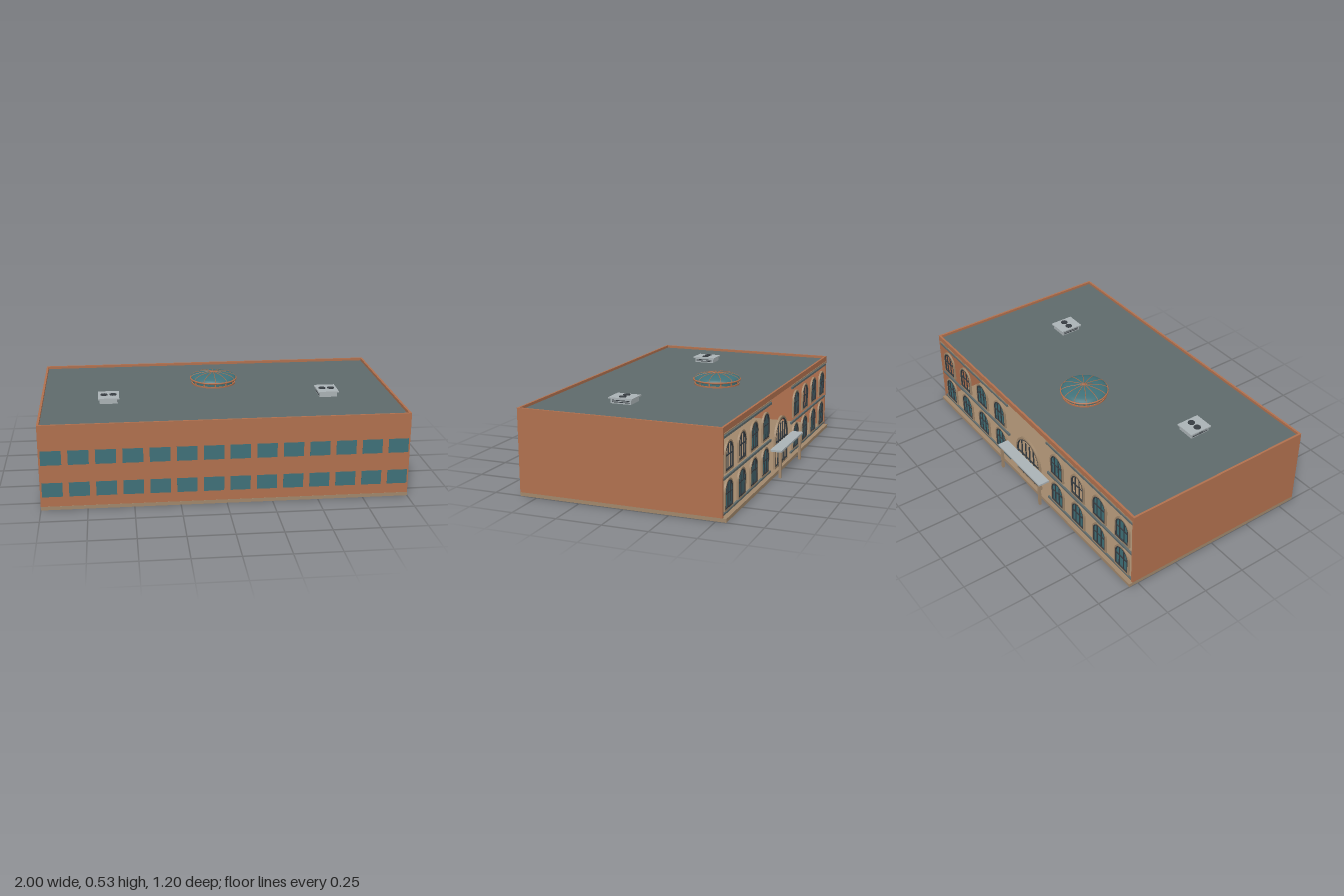
import * as THREE from 'three';

const mat = (name, color) => {
  const m = new THREE.MeshStandardMaterial({ color, side: THREE.DoubleSide });
  m.name = name;
  return m;
};

export function createModel() {
  const brick = mat('brick', 0xb0704e);
  const stone = mat('stone', 0xa0876b);
  const slate = mat('slate', 0x5e6a6b);
  const glass = mat('glass', 0x3f7078);
  const metal = mat('metal', 0xaab2b5);
  const dark = mat('dark metal', 0x363c41);

  const model = new THREE.Group();
  model.name = 'building';
  const add = (parent, name, geo, material, x = 0, y = 0, z = 0) => {
    const m = new THREE.Mesh(geo, material);
    m.name = name;
    m.position.set(x, y, z);
    parent.add(m);
    return m;
  };
  // Box given by its limits on each axis
  const box = (parent, name, material, x0, x1, y0, y1, z0, z1) =>
    add(parent, name, new THREE.BoxGeometry(x1 - x0, y1 - y0, z1 - z0), material,
      (x0 + x1) / 2, (y0 + y1) / 2, (z0 + z1) / 2);
  const group = (name, x, y, z) => {
    const g = new THREE.Group();
    g.name = name;
    g.position.set(x, y, z);
    model.add(g);
    return g;
  };

  // Hollow shell, open behind the arcade at the back
  const back = -0.535, top = 0.478, t = 0.012;
  box(model, 'plinth', stone, -1, 1, 0, 0.02, -0.555, 0.6);
  box(model, 'frontWall', brick, -1, 1, 0.02, top, 0.6 - t, 0.599);
  for (const s of [-1, 1]) {
    const a = s * 1, b = s * (1 - t);
    box(model, 'sideWall', brick, Math.min(a, b), Math.max(a, b), 0.02, top, back, 0.6 - t);
  }
  box(model, 'backParapet', brick, -1 + t, 1 - t, 0.447, top, back, back + t);
  box(model, 'roof', slate, -1 + t, 1 - t, 0.452, 0.463, back + t, 0.6 - t);

  // Front window strips
  for (const [y0, y1] of [[0.075, 0.155], [0.255, 0.335]])
    for (let i = 0; i < 14; i++) {
      const x = -0.935 + i * 0.144;
      box(model, 'frontWindow', glass, x - 0.055, x + 0.055, y0, y1, 0.598, 0.6);
    }

  // Arched outline, base at y = 0
  const arch = (w, h, Type = THREE.Shape) => {
    const r = w / 2, p = new Type();
    p.moveTo(-r, 0);
    p.lineTo(r, 0);
    p.lineTo(r, h - r);
    p.absarc(0, h - r, r, 0, Math.PI, false);
    p.lineTo(-r, 0);
    return p;
  };
  const archFrame = (w, h, edge, depth) => {
    const s = arch(w, h);
    const hole = arch(w - 2 * edge, h - 2 * edge, THREE.Path);
    hole.curves.forEach((c) => {
      if (c.isLineCurve) { c.v1.y += edge; c.v2.y += edge; } else c.aY += edge;
    });
    s.holes.push(hole);
    return new THREE.ExtrudeGeometry(s, { depth, bevelEnabled: false, curveSegments: 12 });
  };

  // Arched windows: stone surround, dark bars, glass pane
  const trimGeo = archFrame(0.125, 0.158, 0.009, 0.01);
  const frameGeo = archFrame(0.107, 0.14, 0.006, 0.008);
  const paneGeo = new THREE.ShapeGeometry(arch(0.1, 0.135), 12);
  const unglazed = [0.9, 0.7, -0.5];
  for (const y of [0.04, 0.237])
    for (const x of [-0.9, -0.7, -0.5, -0.3, 0.3, 0.5, 0.7, 0.9]) {
      const w = group('archedWindow', x, y, back);
      add(w, 'surround', trimGeo, stone);
      add(w, 'frame', frameGeo, dark, 0, 0.009, 0);
      if (y < 0.2 || !unglazed.includes(x)) add(w, 'pane', paneGeo, glass, 0, 0.012, 0.006);
      for (const bx of [-0.018, 0.018])
        box(w, 'mullion', dark, bx - 0.0025, bx + 0.0025, 0.012, 0.145, 0, 0.005);
      box(w, 'transom', dark, -0.05, 0.05, 0.084, 0.089, 0, 0.005);
    }

  // Entrance arch with open bars
  const door = group('entrance', 0, 0.02, back);
  add(door, 'surround', archFrame(0.25, 0.285, 0.012, 0.012), stone);
  add(door, 'frame', archFrame(0.226, 0.261, 0.005, 0.008), dark, 0, 0.012, 0);
  for (const x of [-0.06, -0.02, 0.02, 0.06])
    box(door, 'bar', dark, x - 0.003, x + 0.003, 0, 0.25, 0, 0.006);
  box(door, 'transom', dark, -0.11, 0.11, 0.15, 0.156, 0, 0.006);

  // String courses and cornice on both wings
  for (const s of [-1, 1])
    for (const [y, h, m] of [[0.032, 0.01, slate], [0.213, 0.012, slate], [0.425, 0.012, slate], [0.441, 0.007, stone]])
      box(model, 'stringCourse', m, s * 0.595 - 0.393, s * 0.595 + 0.393, y - h / 2, y + h / 2, back, back + 0.01);

  // Entrance canopy
  box(model, 'canopy', metal, -0.22, 0.22, 0.152, 0.163, -0.6, back);
  for (const x of [-0.2, 0.2])
    box(model, 'canopyPost', stone, x - 0.007, x + 0.007, 0, 0.152, -0.595, -0.581);

  // Skylight dome
  const dome = group('skylight', 0, 0, -0.137);
  add(dome, 'drum', new THREE.CylinderGeometry(0.125, 0.125, 0.03, 32), glass, 0, 0.475, 0);
  add(dome, 'curb', new THREE.CylinderGeometry(0.131, 0.131, 0.01, 32), brick, 0, 0.466, 0);
  const ring = add(dome, 'rim', new THREE.TorusGeometry(0.135, 0.005, 8, 40), brick, 0, 0.492, 0);
  ring.rotation.x = Math.PI / 2;
  const profile = (lift) => {
    const pts = [];
    for (let i = 0; i <= 8; i++) {
      const a = (i / 8) * Math.PI / 2;
      pts.push(new THREE.Vector2(0.135 * Math.cos(a), 0.493 + lift + 0.036 * Math.sin(a)));
    }
    return pts;
  };
  add(dome, 'domeGlass', new THREE.LatheGeometry(profile(0), 40), glass);
  const ribCurve = new THREE.CatmullRomCurve3(profile(0.0005).map((p) => new THREE.Vector3(p.x, p.y, 0)));
  const ribGeo = new THREE.TubeGeometry(ribCurve, 12, 0.0022, 5);
  for (let i = 0; i < 12; i++) {
    const a = (i / 12) * Math.PI * 2;
    add(dome, 'rib', ribGeo, brick).rotation.y = a;
    const post = add(dome, 'drumPost', new THREE.BoxGeometry(0.006, 0.03, 0.008), brick,
      0.125 * Math.cos(a), 0.475, -0.125 * Math.sin(a));
    post.rotation.y = a;
  }

  // Rooftop ventilation units
  for (const x of [-0.622, 0.622]) {
    const u = group('ventUnit', x, 0.463, 0.16);
    box(u, 'body', metal, -0.05, 0.05, 0, 0.026, -0.06, 0.06);
    box(u, 'lid', metal, -0.059, 0.059, 0.026, 0.034, -0.07, 0.07);
    for (const y of [0.009, 0.018])
      box(u, 'louvre', dark, -0.052, 0.052, y - 0.002, y + 0.002, -0.052, 0.052);
    for (const fx of [-0.025, 0.025])
      add(u, 'fan', new THREE.CylinderGeometry(0.02, 0.02, 0.004, 16), dark, fx, 0.036, 0);
  }
  return model;
}
